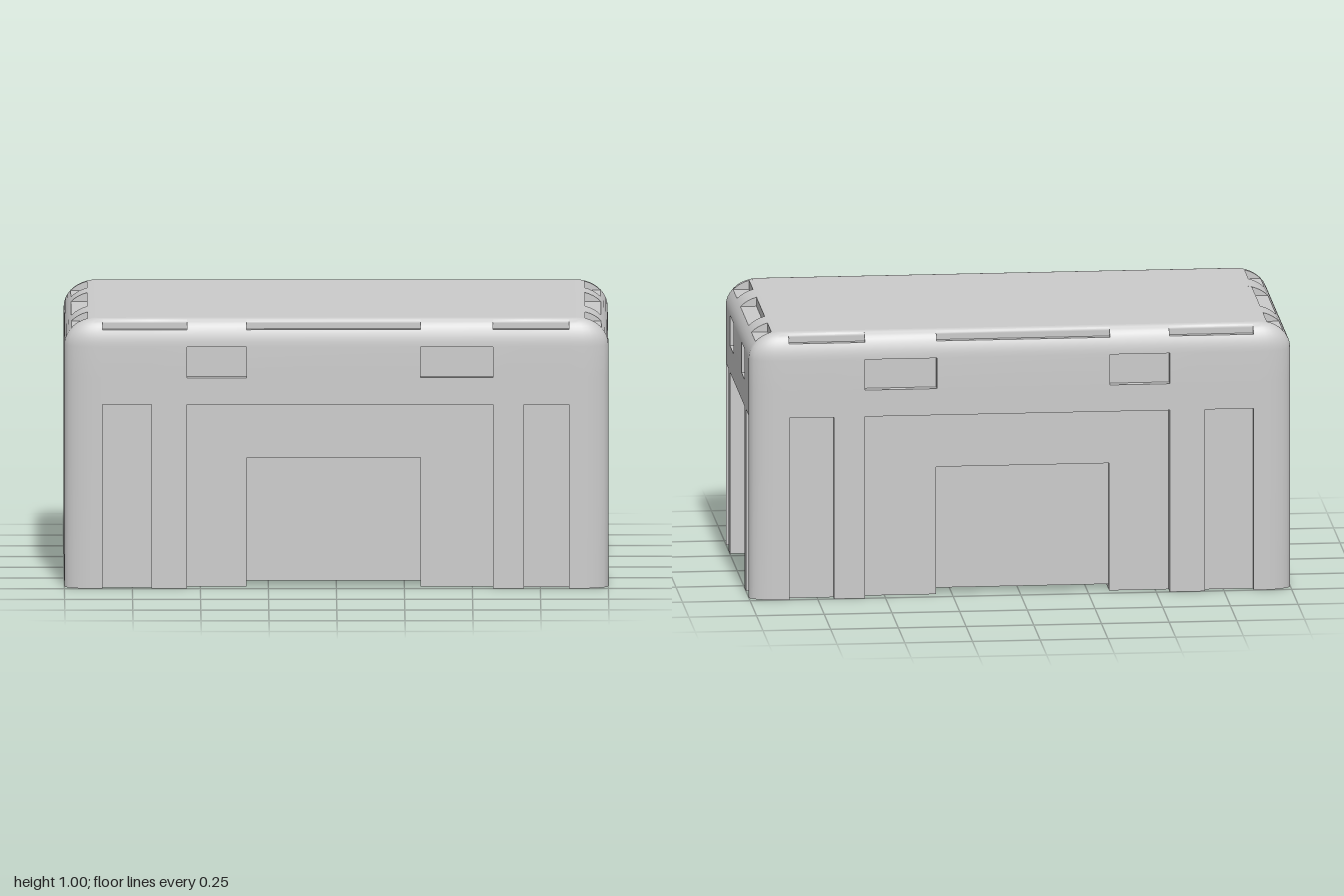
import * as THREE from 'three';
import { toCreasedNormals } from 'three/addons/utils/BufferGeometryUtils.js';

// Half sizes, rounding radii and the channel under the body
const HX = 1, HZ = 0.5, RX = 0.12, RZ = 0.055, RY = 0.1, WALL_TOP = 0.9;
const CHANNEL = { x0: -0.33, x1: 0.31, height: 0.02 };

// Panel boundaries along the long and short sides (seven bays each)
const LONG = [-0.86, -0.68, -0.55, -0.33, 0.31, 0.575, 0.69, 0.855];
const SHORT = [0.43, 0.345, 0.283, 0.148, -0.168, -0.28, -0.34, -0.43];

// Recess depths: p = pocket, w = wide panel, d = door, v = vent
const LONG_DEPTH = { '.': 0, p: 0.03, w: 0.045, d: 0.065, v: 0.03 };
const SHORT_DEPTH = { '.': 0, p: 0.04, w: 0.07, d: 0.1, v: 0.04 };
const SLOT_X = 0.915, SLOT_Z = 0.465; // back walls of the slots (s) in the top edge

// Two points at each boundary, one belonging to each neighbouring bay
const bays = (marks) => marks.flatMap((u, i) => [{ u, bay: i - 1 }, { u, bay: i }]);

// One horizontal outline, counter-clockwise from above
function outline(y, pattern, cosine = 1) {
  const rx = RX * cosine, rz = RZ * cosine;
  const cx = HX - RX, cz = HZ - RZ;
  const points = [];
  const reach = (bay, surface, depths, slot) => {
    const code = pattern[bay] ?? '.';
    return code === 's' ? Math.min(surface, slot) : surface - depths[code];
  };
  const addLong = (list, sign) => list.forEach(({ u, bay }) => points.push({
    x: u, y, z: sign * reach(bay, cz + rz, LONG_DEPTH, SLOT_Z), door: bay === 3 }));
  const addShort = (list, sign) => list.forEach(({ u, bay }) => points.push({
    x: sign * reach(bay, cx + rx, SHORT_DEPTH, SLOT_X), y, z: u }));
  const addCorner = (sx, sz, start) => {
    for (let i = 0; i <= 6; i++) {
      const a = start - (i / 6) * Math.PI / 2;
      points.push({ x: sx * cx + rx * Math.cos(a), y, z: sz * cz + rz * Math.sin(a) });
    }
  };
  addLong(bays(LONG), 1);
  addCorner(1, 1, Math.PI / 2);
  addShort(bays(SHORT), 1);
  addCorner(1, -1, 0);
  addLong(bays(LONG).reverse(), -1);
  addCorner(-1, -1, -Math.PI / 2);
  addShort(bays(SHORT).reverse(), -1);
  addCorner(-1, 1, -Math.PI);
  return points;
}

// Skin between successive outlines, leaving out empty triangles
function loft(rings) {
  const position = [];
  const vec = (p) => new THREE.Vector3(p.x, p.y, p.z);
  const face = (...corners) => {
    const t = new THREE.Triangle(...corners.map(vec));
    if (t.getArea() > 1e-8) position.push(...t.a.toArray(), ...t.b.toArray(), ...t.c.toArray());
  };
  for (let r = 0; r + 1 < rings.length; r++) {
    const low = rings[r], high = rings[r + 1];
    for (let i = 0; i < low.length; i++) {
      const j = (i + 1) % low.length;
      face(low[i], low[j], high[j]);
      face(low[i], high[j], high[i]);
    }
  }
  const geometry = new THREE.BufferGeometry();
  geometry.setAttribute('position', new THREE.Float32BufferAttribute(position, 3));
  return toCreasedNormals(geometry, 0.6);
}

// Flat horizontal cap facing up or down
function cap(points, y, up) {
  const side = up ? -1 : 1;
  const shape = new THREE.Shape(points.map((p) => new THREE.Vector2(p.x, side * p.z)));
  return new THREE.ShapeGeometry(shape).rotateX(side * Math.PI / 2).translate(0, y, 0);
}

export function createModel() {
  const group = new THREE.Group();
  const material = new THREE.MeshStandardMaterial({ color: 0xcccccc, side: THREE.DoubleSide });
  const add = (name, geometry) => {
    const mesh = new THREE.Mesh(geometry, material);
    mesh.name = name;
    group.add(mesh);
    return mesh;
  };

  // Walls: doors and panels, then panels only, then vents under the top edge
  const levels = [
    [0, 0.48, 'p.wdw.p'],
    [0.48, 0.685, 'p.www.p'],
    [0.685, 0.785, '.......'],
    [0.785, WALL_TOP, '..v.v..'],
  ];
  const rings = levels.flatMap(([y0, y1, pattern]) => [outline(y0, pattern), outline(y1, pattern)]);
  const foot = outline(0, levels[0][2]);
  rings[0].forEach((p) => { if (p.door) p.y = CHANNEL.height; });

  // Rounded top edge with slots cut into it
  const slotAngle = Math.asin((0.962 - WALL_TOP) / RY);
  const arc = (a, pattern) => outline(WALL_TOP + RY * Math.sin(a), pattern, Math.cos(a));
  for (let i = 0; i <= 4; i++) rings.push(arc(slotAngle * i / 4, '.......'));
  for (let i = 0; i <= 6; i++) {
    rings.push(arc(slotAngle + (Math.PI / 2 - slotAngle) * i / 6, 'ss.s.ss'));
  }
  add('shell', loft(rings));
  add('roof', cap(rings[rings.length - 1], WALL_TOP + RY, true));

  // Underside: two feet with a shallow channel between them
  const { x0, x1, height } = CHANNEL;
  add('leftFoot', cap(foot.filter((p) => p.x >= x1 - 1e-6), 0, false));
  add('rightFoot', cap(foot.filter((p) => p.x <= x0 + 1e-6), 0, false));
  add('channelRoof', cap(foot.filter((p) => p.door), height, false));
  const channelDepth = 2 * (HZ - LONG_DEPTH.d);
  for (const x of [x0, x1]) {
    const wall = add('channelWall', new THREE.PlaneGeometry(channelDepth, height));
    wall.rotation.y = x < 0 ? Math.PI / 2 : -Math.PI / 2;
    wall.position.set(x, height / 2, 0);
  }
  return group;
}
